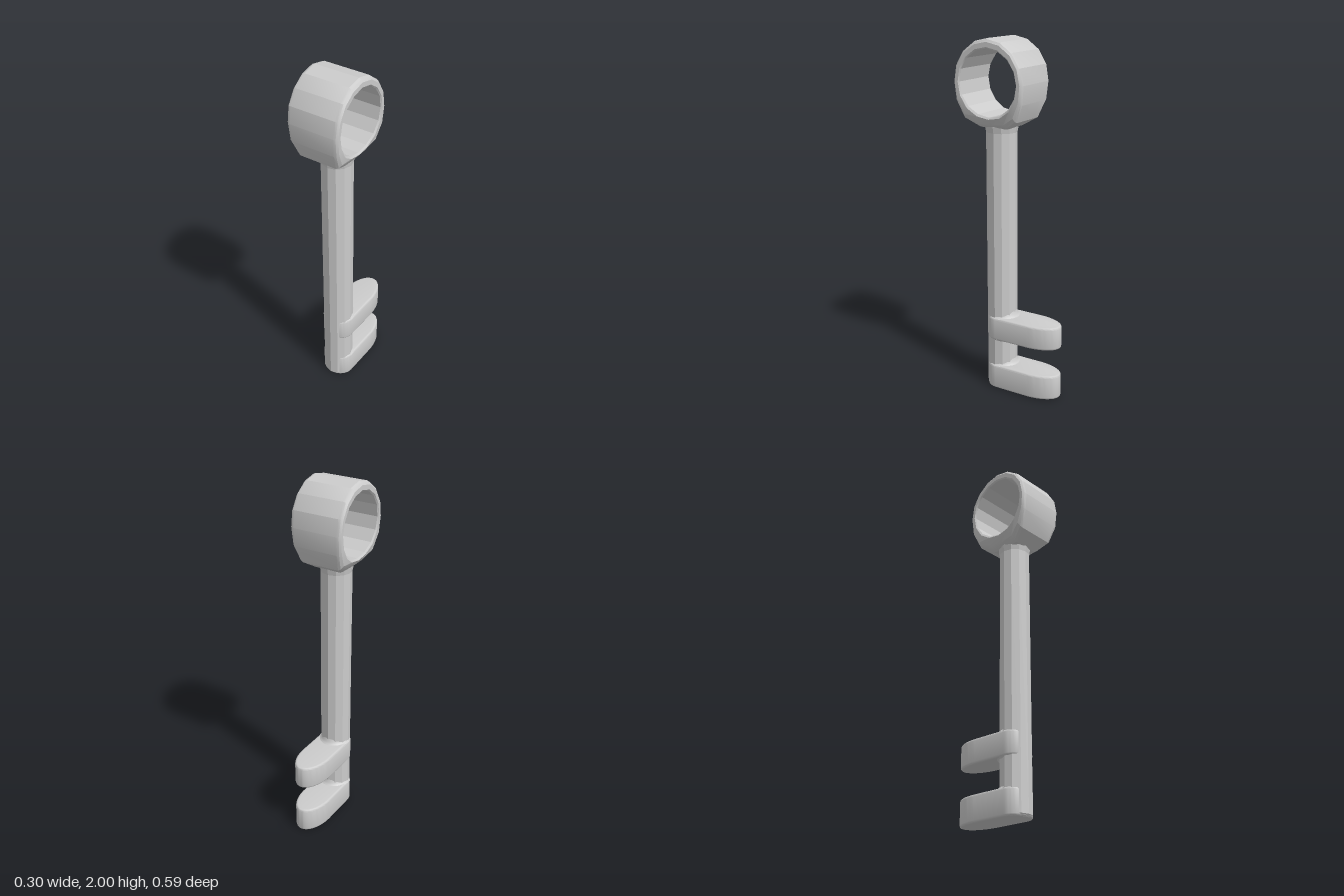
import * as THREE from 'three';
import { toCreasedNormals } from 'three/addons/utils/BufferGeometryUtils.js';

const AXIS_Z = 0.083; // depth of the shaft and ring centre
const RING_Y = 1.77;

const material = new THREE.MeshStandardMaterial({ color: 0xcccccc });
const facetedMaterial = new THREE.MeshStandardMaterial({ color: 0xcccccc, flatShading: true });

function addPart(group, name, geometry, mat = material) {
  const mesh = new THREE.Mesh(geometry, mat);
  mesh.name = name;
  group.add(mesh);
  return mesh;
}

// Broad ring: 16 cross-sections around the hole, pinched towards the shaft
function ringGeometry() {
  const segments = 16;
  // lower half, from the side down to the bottom: z offset, y, outer and inner half width
  const lower = [
    [0.21, 1.77, 0.148, 0.148],
    [0.2, 1.67, 0.145, 0.146],
    [0.16, 1.575, 0.13, 0.142],
    [0.085, 1.53, 0.098, 0.136],
    [0, 1.525, 0.092, 0.134],
  ];
  const positions = [];
  const indices = [];
  let count = 0;
  for (let i = 0; i < segments; i++) {
    const angle = (i / segments) * Math.PI * 2;
    const fold = Math.min(i, segments - i);
    let oz = Math.sin(angle) * 0.21;
    let oy = RING_Y + Math.cos(angle) * 0.23;
    let wo = 0.15, wi = 0.15;
    if (fold >= 4) {
      const row = lower[fold - 4];
      oz = row[0] * (i > 8 ? -1 : 1);
      [oy, wo, wi] = row.slice(1);
    }
    const iz = Math.sin(angle) * 0.174;
    const iy = RING_Y + Math.cos(angle) * 0.178;
    // half section: [blend from outer to inner, x]
    const half = [
      [0, wo - 0.022],
      [0.1, wo - 0.009],
      [0.35, wo + (wi - wo) * 0.35],
      [0.85, wi],
      [1, wi - 0.007],
    ];
    const section = [
      ...half.slice().reverse(),
      ...half.map(([t, x]) => [t, -x]),
    ];
    count = section.length;
    for (const [t, x] of section) {
      positions.push(x, oy + (iy - oy) * t, AXIS_Z + oz + (iz - oz) * t);
    }
  }
  for (let i = 0; i < segments; i++) {
    for (let j = 0; j < count; j++) {
      const a = i * count + j;
      const b = i * count + ((j + 1) % count);
      const c = ((i + 1) % segments) * count + j;
      const d = ((i + 1) % segments) * count + ((j + 1) % count);
      indices.push(a, b, c, b, d, c);
    }
  }
  const geometry = new THREE.BufferGeometry();
  geometry.setAttribute('position', new THREE.Float32BufferAttribute(positions, 3));
  geometry.setIndex(indices);
  return toCreasedNormals(geometry, 0.36);
}

// Tooth: tongue outline with a rounded tip, softened at the edges
function toothGeometry(height) {
  const bevel = 0.012;
  const shape = new THREE.Shape();
  shape.moveTo(0.092, -0.08);
  shape.lineTo(0.092, 0.125);
  shape.absellipse(0, 0.125, 0.092, 0.17, 0, Math.PI, false);
  shape.lineTo(-0.092, -0.08);
  shape.absellipse(0, -0.08, 0.092, 0.082, Math.PI, Math.PI * 2, false);
  const geometry = new THREE.ExtrudeGeometry(shape, {
    depth: height - bevel * 2,
    bevelSize: bevel,
    bevelThickness: bevel,
    bevelOffset: -bevel,
    bevelSegments: 3,
    curveSegments: 16,
  });
  geometry.translate(0, 0, bevel);
  geometry.rotateX(-Math.PI / 2);
  return toCreasedNormals(geometry, 0.6);
}

// Small fillet round the back of the shaft, flaring onto a tooth
function filletGeometry(direction) {
  const points = [[0.11, -0.004], [0.098, 0.004], [0.09, 0.014], [0.084, 0.03]]
    .map(([r, y]) => new THREE.Vector2(r, y * direction));
  if (direction < 0) points.reverse();
  const geometry = new THREE.LatheGeometry(points, 12, Math.PI / 2, Math.PI);
  geometry.scale(0.86, 1, 1);
  return geometry;
}

export function createModel() {
  const group = new THREE.Group();
  group.name = 'key';

  addPart(group, 'ring', ringGeometry());

  // Shaft with a slightly chamfered foot and a flared collar under the ring
  const profile = [[0, 0], [0.074, 0], [0.085, 0.014], [0.085, 1.5], [0.092, 1.535], [0.092, 1.56], [0, 1.56]]
    .map(([r, y]) => new THREE.Vector2(r, y));
  const shaft = addPart(group, 'shaft', new THREE.LatheGeometry(profile, 12), facetedMaterial);
  shaft.position.z = AXIS_Z;

  // Two teeth pointing backwards
  const teeth = [['lowerTooth', 0, 0.145], ['upperTooth', 0.305, 0.135]];
  for (const [name, y, height] of teeth) {
    addPart(group, name, toothGeometry(height)).position.y = y;
  }

  // Fillets where the teeth meet the shaft
  const fillets = [['lowerToothFillet', 0.145, 1], ['upperToothFilletBelow', 0.305, -1], ['upperToothFilletAbove', 0.44, 1]];
  for (const [name, y, direction] of fillets) {
    addPart(group, name, filletGeometry(direction)).position.set(0, y, AXIS_Z);
  }

  return group;
}
